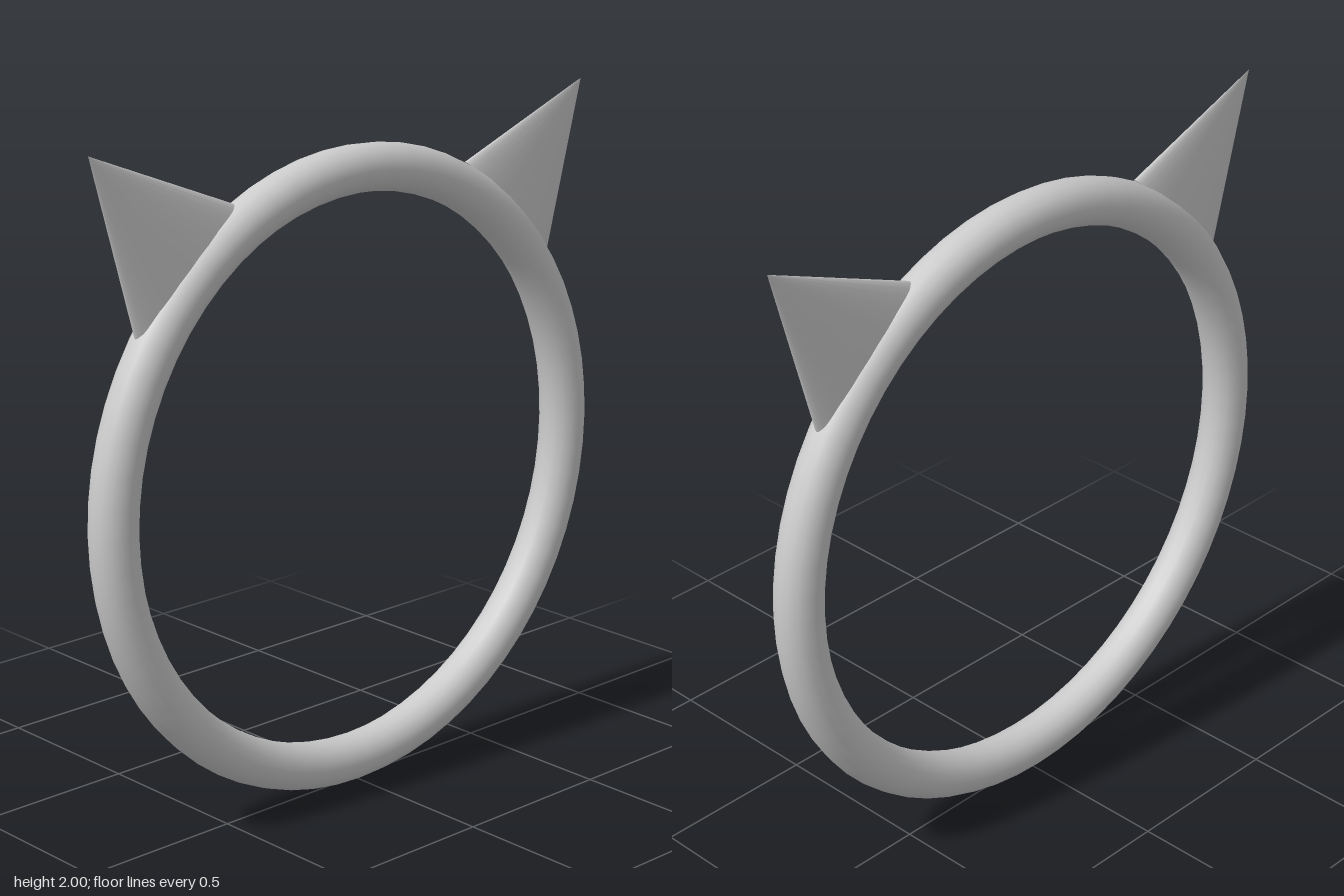
import * as THREE from 'three';

export function createModel() {
  const group = new THREE.Group();
  const material = new THREE.MeshStandardMaterial({ color: 0xcccccc });
  const centreY = 0.958;

  // Round hoop standing upright
  const ring = new THREE.Mesh(new THREE.TorusGeometry(0.888, 0.07, 16, 64), material);
  ring.name = 'ring';
  ring.position.y = centreY;
  group.add(ring);

  // Flattened cones pointing outwards, their bases sunk into the hoop
  const baseDistance = 0.93, earHeight = 0.473, earRadius = 0.237, earDepth = 0.038;
  const lean = THREE.MathUtils.degToRad(42);
  const earGeometry = new THREE.ConeGeometry(earRadius, earHeight, 32);
  earGeometry.scale(1, 1, earDepth / earRadius);
  earGeometry.translate(0, baseDistance + earHeight / 2, 0);
  for (const side of [1, -1]) {
    const ear = new THREE.Mesh(earGeometry, material);
    ear.name = side > 0 ? 'leftEar' : 'rightEar';
    ear.position.y = centreY;
    ear.rotation.z = -side * lean;
    group.add(ear);
  }

  return group;
}
